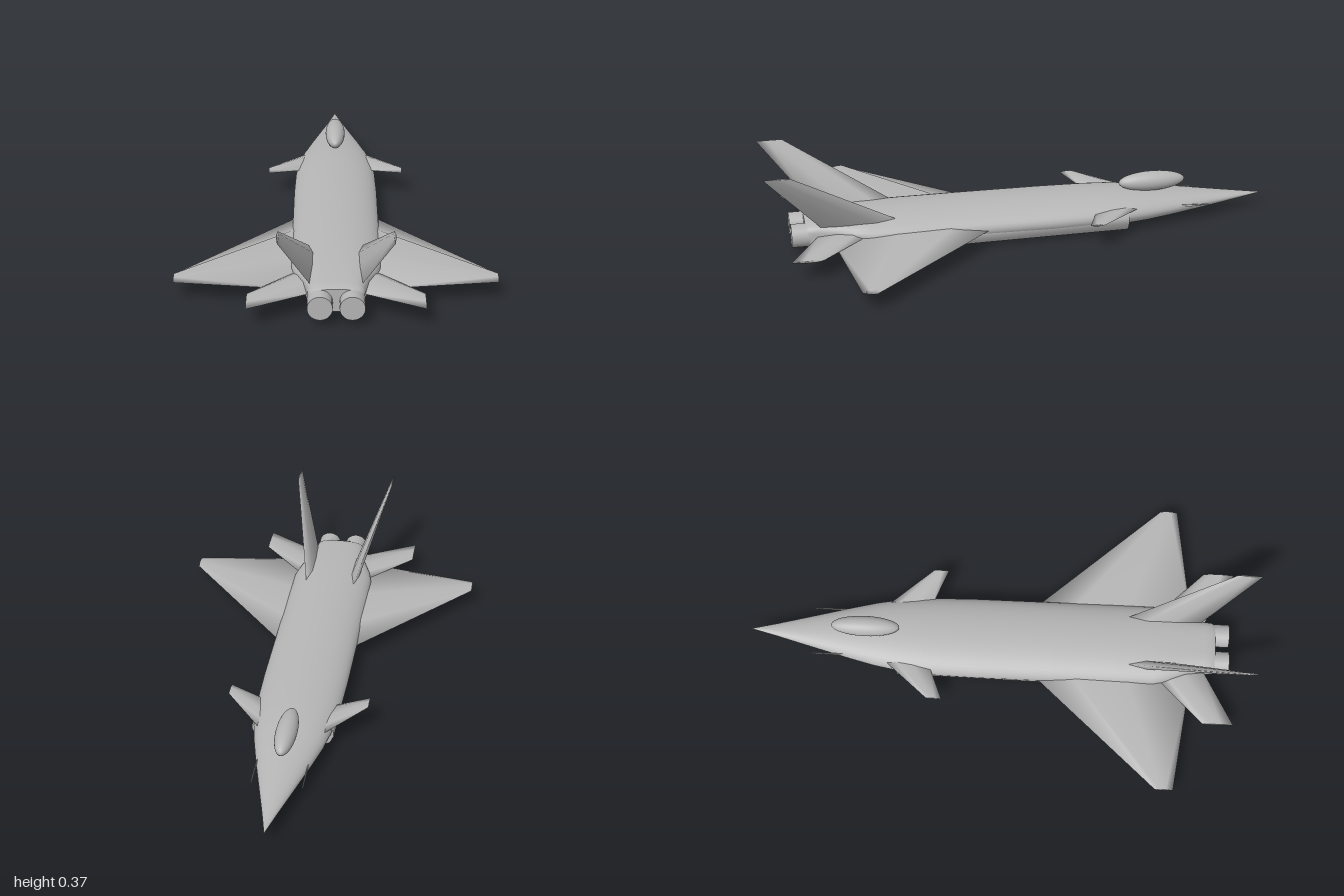
import * as THREE from 'three';

const grey = new THREE.MeshStandardMaterial({ color: 0xb6b6b6 });
grey.name = 'airframe grey';

const v = (x, y, z) => new THREE.Vector3(x, y, z);

// Skin a list of equal-sized rings and cap both ends; soft caps blend into the sides
function loft(rings, softCaps = false) {
  const n = rings[0].length, pos = [], idx = [];
  const add = (p) => pos.push(p.x, p.y, p.z) / 3 - 1;
  rings.forEach((r) => r.forEach(add));
  for (let i = 0; i < rings.length - 1; i++) {
    for (let j = 0; j < n; j++) {
      const a = i * n + j, b = i * n + (j + 1) % n;
      idx.push(a, b, a + n, b, b + n, a + n);
    }
  }
  [rings[0], rings[rings.length - 1]].forEach((ring, end) => {
    const c = add(ring.reduce((s, p) => s.add(p), v(0, 0, 0)).divideScalar(n));
    const first = softCaps ? end * (rings.length - 1) * n : ring.map(add)[0];
    for (let j = 0; j < n; j++) {
      const a = first + j, b = first + (j + 1) % n;
      idx.push(c, ...(end ? [a, b] : [b, a]));
    }
  });
  // Turn the corners round if the skin faces inward
  const P = (i) => v(pos[i * 3], pos[i * 3 + 1], pos[i * 3 + 2]);
  let volume = 0;
  for (let i = 0; i < idx.length; i += 3) {
    volume += P(idx[i]).dot(P(idx[i + 1]).cross(P(idx[i + 2])));
  }
  if (volume < 0) idx.reverse();
  const g = new THREE.BufferGeometry();
  g.setAttribute('position', new THREE.Float32BufferAttribute(pos, 3));
  g.setIndex(idx);
  g.computeVertexNormals();
  return g;
}

// Six-point section: leading edge, upper pair, trailing edge, lower pair
function foilRing([x, y, z0, z1, thick], normal) {
  return [[0, 0], [0.25, 0.5], [0.6, 0.42], [1, 0], [0.6, -0.42], [0.25, -0.5]].map(
    ([t, h]) => v(x, y, z0 + (z1 - z0) * t).addScaledVector(normal, h * thick));
}

// Tapered flying surface between a root and a tip: [x, y, zLead, zTrail, thickness]
function foil(root, tip) {
  const normal = v(root[1] - tip[1], tip[0] - root[0], 0).normalize();
  return loft([foilRing(root, normal), foilRing(tip, normal)], true);
}

function part(parent, name, geometry) {
  const mesh = new THREE.Mesh(geometry, grey);
  mesh.name = name;
  parent.add(mesh);
  return mesh;
}

// Everything that is mirrored across the centre line
function buildSide(name) {
  const side = new THREE.Group();
  side.name = name;

  part(side, 'wing', foil([0.1, 0.073, 0.08, 0.755, 0.045], [0.585, 0.07, 0.62, 0.69, 0.02]));
  part(side, 'canard', foil([0.11, 0.093, -0.47, -0.29, 0.02], [0.27, 0.106, -0.285, -0.225, 0.008]));
  part(side, 'tailplane', foil([0.07, 0.08, 0.55, 0.785, 0.03], [0.315, 0.082, 0.8, 0.92, 0.012]));
  part(side, 'tailFin', foil([0.092, 0.11, 0.47, 0.785, 0.034], [0.199, 0.37, 0.9, 1.0, 0.01]));

  // Air intake trunk with bevelled lower corners
  const outline = [[0.07, 0.01], [0.09, 0.008], [0.13, 0.008], [0.15, 0.018],
    [0.165, 0.05], [0.163, 0.07], [0.145, 0.1], [0.07, 0.1]];
  part(side, 'intakeTrunk', loft([-0.41, 0.38].map(
    (z) => outline.map(([x, y]) => v(x - (z < 0 ? 0.008 : 0), y, z)))));

  // Engine nozzle
  const nozzle = part(side, 'nozzle', new THREE.CylinderGeometry(0.045, 0.045, 0.07, 32));
  nozzle.rotation.x = Math.PI / 2;
  nozzle.position.set(0.057, 0.073, 0.865);

  // Slim blade beside the nose
  part(side, 'noseBlade', loft([[-0.75, 0.001], [-0.62, 0.006]].map(([z, h]) => [
    v(0.093, 0.075 - h, z), v(0.097, 0.075 - h, z), v(0.097, 0.075 + h, z), v(0.093, 0.075 + h, z)])));
  return side;
}

export function createModel() {
  const model = new THREE.Group();
  model.name = 'jetAircraft';

  // Fuselage stations: z, half width, bottom, top, roundness (1 oval, lower is squarer)
  const stations = [
    [-1, 0.001, 0.064, 0.066, 1], [-0.9, 0.026, 0.052, 0.078, 1], [-0.8, 0.053, 0.04, 0.09, 1],
    [-0.7, 0.08, 0.03, 0.102, 1], [-0.6, 0.107, 0.02, 0.114, 1], [-0.5, 0.132, 0.012, 0.125, 1],
    [-0.4, 0.15, 0.007, 0.134, 1], [-0.28, 0.161, 0.004, 0.138, 1], [-0.1, 0.165, 0.003, 0.141, 1],
    [0.2, 0.165, 0.005, 0.143, 1], [0.45, 0.165, 0.01, 0.143, 1], [0.6, 0.163, 0.014, 0.14, 0.95],
    [0.66, 0.148, 0.017, 0.138, 0.85], [0.73, 0.118, 0.021, 0.134, 0.7], [0.8, 0.104, 0.025, 0.13, 0.6],
    [0.83, 0.102, 0.028, 0.127, 0.6], [0.845, 0.094, 0.034, 0.12, 0.6],
  ];
  const bend = (s, power) => Math.sign(s) * Math.pow(Math.abs(s), power);
  part(model, 'fuselage', loft(stations.map(([z, w, lo, hi, round]) =>
    Array.from({ length: 40 }, (_, i) => {
      const a = i / 40 * Math.PI * 2;
      return v(w * bend(Math.cos(a), round),
        (lo + hi) / 2 + (hi - lo) / 2 * bend(Math.sin(a), round), z);
    }))));

  // Canopy bubble
  const canopy = part(model, 'canopy', new THREE.SphereGeometry(1, 32, 20));
  canopy.scale.set(0.04, 0.039, 0.135);
  canopy.position.set(0, 0.155, -0.54);

  const left = buildSide('leftSide');
  const right = buildSide('rightSide');
  right.scale.x = -1;
  model.add(left, right);
  return model;
}
